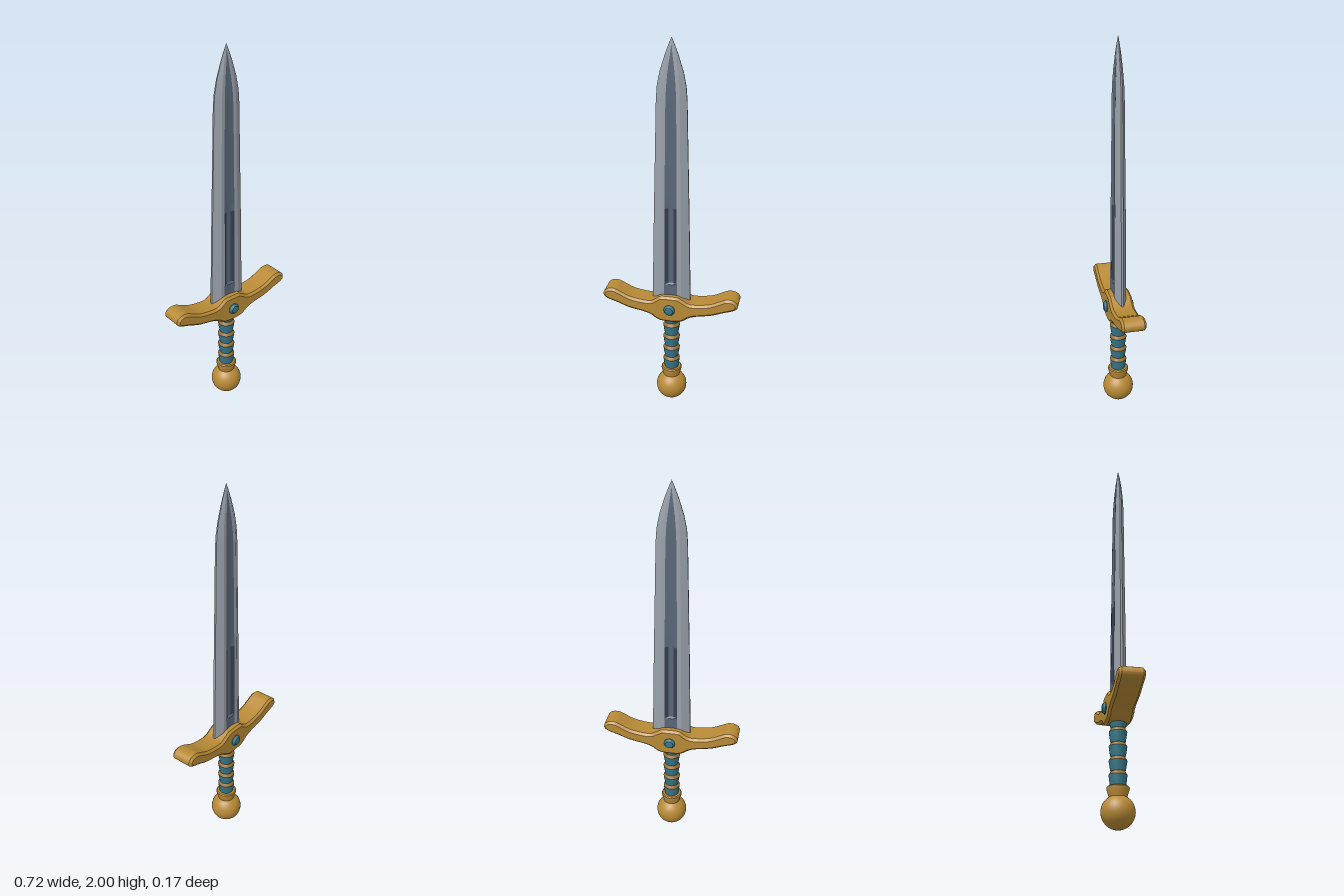
import * as THREE from 'three';
import { toCreasedNormals } from 'three/addons/utils/BufferGeometryUtils.js';

const material = (name, color, extra = {}) => {
  const m = new THREE.MeshStandardMaterial({ color, ...extra });
  m.name = name;
  return m;
};

const v2 = (list) => list.map(([x, y]) => new THREE.Vector2(x, y));

// Blade lofted through rings; each ring runs front left to right, then back right to left
function bladeGeometry() {
  // height, half width, half thickness, groove half width, groove depth
  const levels = [
    [0.6, 0.102, 0.03, 0.034, 0.003],
    [0.72, 0.099, 0.03, 0.034, 0.003],
    [0.73, 0.099, 0.03, 0.033, 0.01],
    [1.15, 0.09, 0.027, 0.031, 0.008],
    [1.22, 0.088, 0.026, 0.031, 0.003],
    [1.7, 0.076, 0.022, 0.026, 0.003],
    [1.77, 0.071, 0.02, 0.023, 0.002],
    [1.84, 0.057, 0.016, 0.017, 0.002],
    [1.92, 0.032, 0.01, 0.006, 0.001],
    [1.97, 0.013, 0.004, 0, 0],
    [2.0, 0, 0, 0, 0],
  ];
  const rings = levels.map(([y, w, t, f, d]) => {
    const half = [[w, t * 0.2], [w * 0.57, t], [f, t], [f * 0.4, t - d]];
    const front = [
      ...half.map(([x, z]) => [-x, z]),
      ...half.slice().reverse(),
    ];
    return [...front, ...front.map(([x, z]) => [-x, -z])]
      .map(([x, z]) => new THREE.Vector3(x, y, z));
  });
  // Faces sorted by colour: steel, groove, deep groove walls
  const buckets = [[], [], []];
  for (let k = 0; k < rings.length - 1; k++) {
    for (let i = 0; i < 16; i++) {
      const j = (i + 1) % 16, col = i % 8;
      const groove = col >= 2 && col <= 4;
      const slot = !groove ? 0 : (k === 2 && col !== 3 ? 2 : 1);
      const [a, b, c, d] = [rings[k][i], rings[k][j], rings[k + 1][j], rings[k + 1][i]];
      buckets[slot].push(a, b, c, a, c, d);
    }
  }
  const geometry = new THREE.BufferGeometry().setFromPoints(buckets.flat());
  let start = 0;
  buckets.forEach((points, slot) => {
    geometry.addGroup(start, points.length, slot);
    start += points.length;
  });
  return toCreasedNormals(geometry, 0.3);
}

// Crossguard outline, mirrored and extruded with a small bevel
function guardGeometry() {
  const right = [
    [0.045, 0.66], [0.075, 0.642], [0.11, 0.626], [0.17, 0.63], [0.22, 0.641],
    [0.265, 0.662], [0.3, 0.677], [0.335, 0.674], [0.357, 0.655], [0.357, 0.632],
    [0.335, 0.614], [0.285, 0.597], [0.22, 0.573], [0.14, 0.557], [0.1, 0.543],
    [0.07, 0.522], [0.035, 0.512],
  ];
  const left = right.map(([x, y]) => [-x, y]).reverse();
  const curve = new THREE.SplineCurve(v2([...right, ...left, right[0]]));
  const shape = new THREE.Shape(curve.getPoints(136).slice(0, -1));
  const bevel = 0.012;
  const geometry = new THREE.ExtrudeGeometry(shape, {
    depth: 0.126 - 2 * bevel, bevelEnabled: true, bevelSegments: 1,
    bevelSize: bevel, bevelThickness: bevel, bevelOffset: -bevel,
  });
  geometry.translate(0, 0, -0.063 + bevel);
  return toCreasedNormals(geometry, 0.5);
}

export function createModel() {
  const steel = material('steel', 0x9aa1aa);
  const groove = material('grooveSteel', 0x5a6779);
  const deep = material('deepGroove', 0x363f52);
  const gold = material('gold', 0xb88a36);
  const bronze = material('bronze', 0x98702f, { side: THREE.DoubleSide });
  const teal = material('teal', 0x38788a, { side: THREE.DoubleSide });

  const model = new THREE.Group();
  model.name = 'sword';
  const add = (name, geometry, mat, parent = model) => {
    const mesh = new THREE.Mesh(geometry, mat);
    mesh.name = name;
    parent.add(mesh);
    return mesh;
  };
  const lathe = (points, sides) =>
    toCreasedNormals(new THREE.LatheGeometry(v2(points), sides), 0.5);

  add('blade', bladeGeometry(), [steel, groove, deep]);
  add('crossguard', guardGeometry(), gold);

  // Round gem on each face of the guard
  for (const side of [1, -1]) {
    const gem = add('gem', lathe(
      [[0.03, 0.055], [0.03, 0.067], [0.021, 0.079], [0, 0.083]], 12), teal);
    gem.position.y = 0.586;
    gem.rotation.x = side * Math.PI / 2;
  }

  // Grip of flared sleeves, each capped by an upward-facing bronze slope
  const grip = new THREE.Group();
  grip.name = 'grip';
  model.add(grip);
  const tops = [0.256, 0.325, 0.395, 0.468, 0.53];
  let bottom = 0.19;
  tops.forEach((top, i) => {
    const mid = (bottom + top) / 2;
    add('gripSleeve', lathe(
      [[0.036, bottom], [0.041, mid], [0.045, top]], 24), teal, grip);
    if (i < tops.length - 1) {
      add('gripRing', lathe([[0.045, top], [0.035, top + 0.017]], 24), bronze, grip);
    }
    bottom = top + 0.017;
  });

  // Collar and ball pommel
  add('collar', lathe(
    [[0, 0.14], [0.043, 0.14], [0.046, 0.16], [0.055, 0.188], [0.055, 0.197],
      [0.05, 0.202], [0, 0.202]], 24), gold);
  add('pommel', new THREE.SphereGeometry(0.082, 32, 20), gold).position.y = 0.082;

  return model;
}
